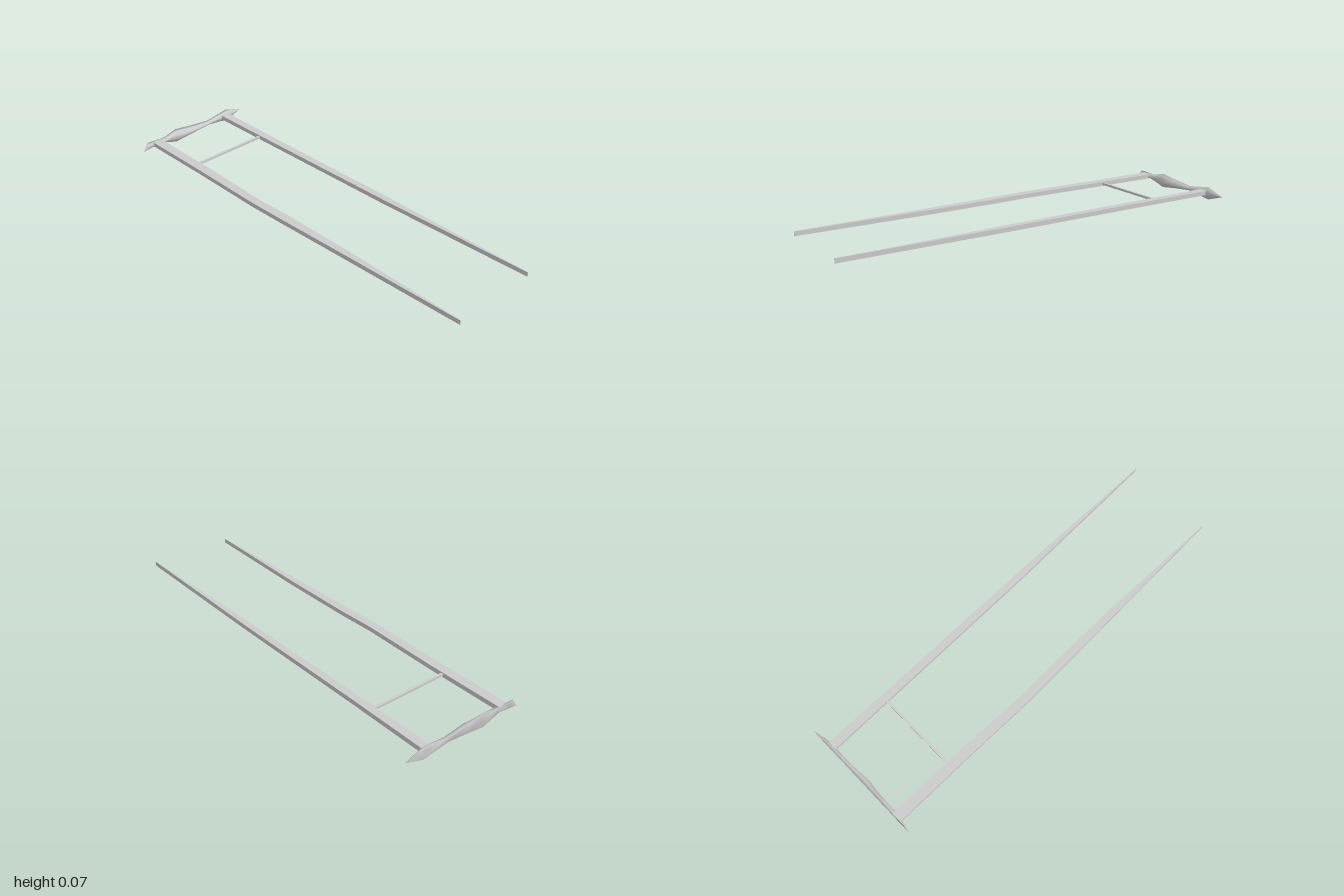
import * as THREE from 'three';

const material = new THREE.MeshStandardMaterial({ color: 0xcccccc });

function add(group, name, geometry) {
  const mesh = new THREE.Mesh(geometry, material);
  mesh.name = name;
  group.add(mesh);
  return mesh;
}

// Flat tapered bar: stations are [z, xMin, xMax], extruded upwards
function tineGeometry(stations) {
  const outline = [
    ...stations.map(([z, a]) => new THREE.Vector2(a, -z)),
    ...[...stations].reverse().map(([z, , b]) => new THREE.Vector2(b, -z)),
  ];
  const geometry = new THREE.ExtrudeGeometry(new THREE.Shape(outline), { depth: 0.022, bevelEnabled: false });
  return geometry.rotateX(-Math.PI / 2).translate(0, 0.033, 0);
}

// Flat-backed bar with a bulging front, lofted along x
function backBarGeometry() {
  // [x top, y top, x bottom, y bottom, depth]
  const stations = [
    [-0.32, 0.019, -0.32, 0.018, 0.001],
    [-0.29, 0.061, -0.27, 0.025, 0.01],
    [-0.19, 0.055, -0.21, 0.032, 0.022],
    [-0.117, 0.075, -0.117, 0.002, 0.02],
    [-0.03, 0.063, -0.03, 0.014, 0.029],
    [0.09, 0.05, 0.09, 0.027, 0.02],
    [0.222, 0.071, 0.222, 0.007, 0.02],
    [0.316, 0.04, 0.316, 0.039, 0.001],
  ];
  // [fraction from top to bottom, fraction of depth]
  const section = [[0, 0], [0.12, 0.5], [0.35, 1], [0.65, 1], [0.88, 0.5], [1, 0]];
  const n = section.length;
  const positions = [], index = [];
  stations.forEach(([xt, yt, xb, yb, d], i) => {
    section.forEach(([t, f], j) => {
      positions.push(xt + (xb - xt) * t, yt + (yb - yt) * t, -1 + d * f);
      if (i === stations.length - 1) return;
      const a = i * n + j, b = i * n + (j + 1) % n;
      index.push(a, b, a + n, b, b + n, a + n);
    });
  });
  const geometry = new THREE.BufferGeometry();
  geometry.setAttribute('position', new THREE.Float32BufferAttribute(positions, 3));
  geometry.setIndex(index);
  geometry.computeVertexNormals();
  return geometry;
}

export function createModel() {
  const group = new THREE.Group();
  group.name = 'twoTinedFork';

  // Long tines tapering to the front
  add(group, 'rightTine', tineGeometry([
    [-1, -0.262, -0.213], [-0.6, -0.264, -0.217], [-0.2, -0.271, -0.229],
    [0, -0.267, -0.223], [0.38, -0.257, -0.224], [1, -0.242, -0.24],
  ]));
  add(group, 'leftTine', tineGeometry([
    [-1, 0.178, 0.222], [-0.6, 0.179, 0.217], [0.2, 0.182, 0.214], [1, 0.199, 0.201],
  ]));

  // Thin rung between the tines
  add(group, 'crossRung', new THREE.BoxGeometry(0.42, 0.011, 0.012)).position.set(-0.018, 0.0445, -0.673);

  // Pointed, wavy bar across the back
  add(group, 'backBar', backBarGeometry());

  return group;
}
